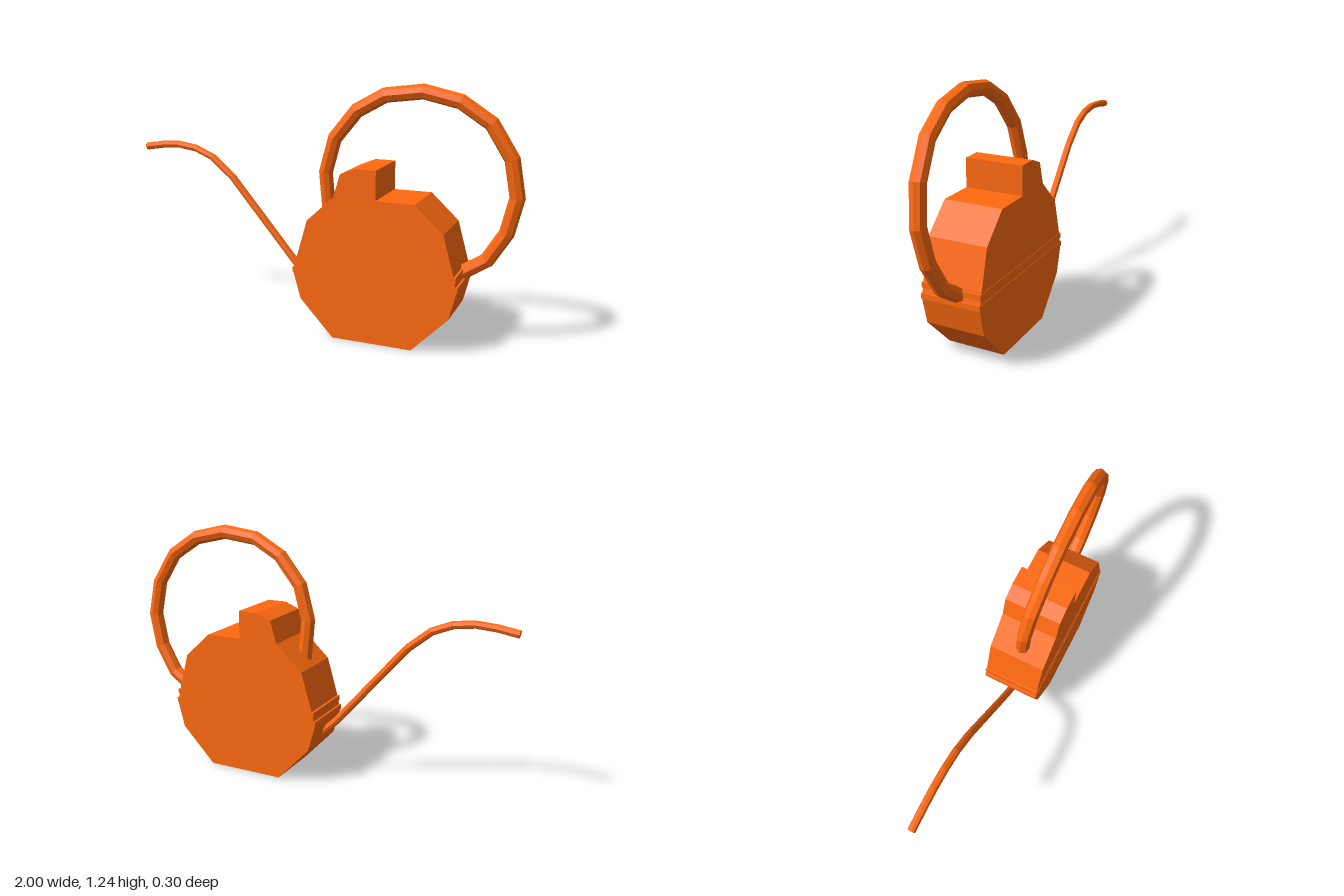
import * as THREE from 'three';

const material = new THREE.MeshStandardMaterial({ color: 0xff6a10, flatShading: true, side: THREE.DoubleSide });

function addMesh(parent, name, geometry) {
  const mesh = new THREE.Mesh(geometry, material);
  mesh.name = name;
  parent.add(mesh);
  return mesh;
}

// Faceted tube with one ring at each path point and a flat cap at each end.
function facetedTube(name, points, radius, sides) {
  const group = new THREE.Group();
  group.name = name;
  const curve = new THREE.CatmullRomCurve3(points);
  curve.getPointAt = (t, target) => curve.getPoint(t, target);
  curve.getTangentAt = (t, target) => curve.getTangent(t, target);
  addMesh(group, name + 'Tube', new THREE.TubeGeometry(curve, points.length - 1, radius, sides));
  for (const t of [0, 1]) {
    const cap = addMesh(group, name + 'Cap', new THREE.CircleGeometry(radius, sides));
    const outward = curve.getTangent(t).multiplyScalar(t ? 1 : -1);
    cap.position.copy(curve.getPoint(t));
    cap.quaternion.setFromUnitVectors(new THREE.Vector3(0, 0, 1), outward);
  }
  return group;
}

export function createModel() {
  const model = new THREE.Group();
  model.name = 'wateringCan';

  // Flat body with the filler neck in one outline
  const outline = [
    [0.135, 0], [0.535, 0], [0.71, 0.18], [0.742, 0.31], [0.724, 0.395],
    [0.672, 0.58], [0.535, 0.707], [0.347, 0.707], [0.347, 0.85], [0.245, 0.85],
    [0.17, 0.82], [0.137, 0.707], [0, 0.58], [-0.053, 0.395], [-0.072, 0.31], [-0.035, 0.18],
  ].map(([x, y]) => new THREE.Vector2(x, y));
  const depth = 0.292;
  const body = new THREE.ExtrudeGeometry(new THREE.Shape(outline), { depth, bevelEnabled: false });
  body.translate(0, 0, -depth / 2);
  addMesh(model, 'body', body);

  // Two shallow ribs around the middle
  for (const [y, width] of [[0.325, 0.822], [0.373, 0.804]]) {
    addMesh(model, 'rib', new THREE.BoxGeometry(width, 0.026, depth + 0.004)).position.set(0.335, y, 0);
  }

  // Slightly tilted loop handle
  const loop = [
    [0.062, 0.56], [0.047, 0.8], [0.097, 0.97], [0.21, 1.107], [0.35, 1.185], [0.53, 1.207],
    [0.7, 1.168], [0.84, 1.075], [0.935, 0.92], [0.965, 0.745], [0.925, 0.575], [0.84, 0.435], [0.71, 0.35],
  ].map(([x, y]) => new THREE.Vector3(x, y, -0.022 + 0.065 * (y - 0.36) - 0.025 * (x - 0.5)));
  model.add(facetedTube('handle', loop, 0.036, 8));

  // Long thin spout curving over at the tip
  const spout = [
    [-1, 0.858], [-0.9, 0.874], [-0.8, 0.88], [-0.7, 0.866], [-0.6, 0.825],
    [-0.485, 0.73], [-0.12, 0.305], [0, 0.19],
  ].map(([x, y]) => new THREE.Vector3(x, y, -0.002));
  model.add(facetedTube('spout', spout, 0.019, 8));

  return model;
}
